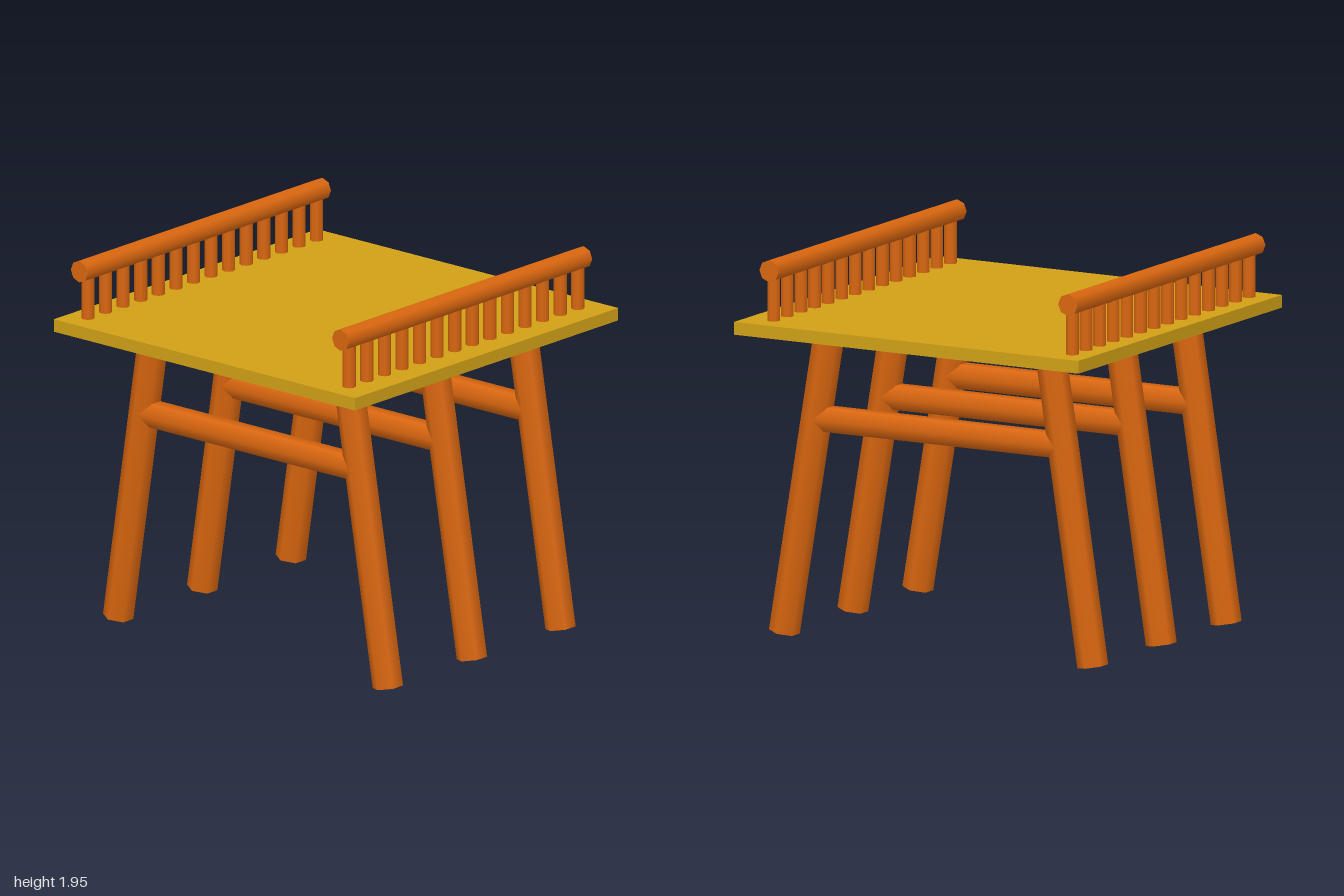
import * as THREE from 'three';

const wood = new THREE.MeshStandardMaterial({ color: 0xd9660f });
const plank = new THREE.MeshStandardMaterial({ color: 0xd0a016 });

// Round timber running between two points, with a low number of sides
function log(name, from, to, radius, sides, turn = 0) {
  const a = new THREE.Vector3(...from);
  const b = new THREE.Vector3(...to);
  const dir = b.clone().sub(a);
  const geometry = new THREE.CylinderGeometry(radius, radius, dir.length(), sides, 1, false, turn);
  const mesh = new THREE.Mesh(geometry, wood);
  mesh.name = name;
  mesh.position.copy(a).add(b).multiplyScalar(0.5);
  mesh.quaternion.setFromUnitVectors(new THREE.Vector3(0, 1, 0), dir.normalize());
  return mesh;
}

export function createModel() {
  const model = new THREE.Group();
  model.name = 'platform';

  // Square deck
  const deck = new THREE.Mesh(new THREE.BoxGeometry(2, 0.065, 2), plank);
  deck.name = 'deck';
  deck.position.y = 1.5995;
  model.add(deck);

  // Three trestles: two splayed hexagonal legs joined by a cross beam
  for (const x of [-0.633, 0.005, 0.678]) {
    const trestle = new THREE.Group();
    trestle.name = 'trestle';
    trestle.add(
      log('frontLeg', [x, 0.012, 0.898], [x, 1.59, 0.632], 0.078, 6, Math.PI / 2),
      log('backLeg', [x, 0.012, -0.893], [x, 1.59, -0.648], 0.078, 6, Math.PI / 2),
      log('crossBeam', [x, 1.12, -0.71], [x, 1.12, 0.71], 0.071, 6, Math.PI / 2)
    );
    model.add(trestle);
  }

  // Railings along the front and back edges
  const postCount = 14;
  for (const [name, z] of [['frontRailing', 0.85], ['backRailing', -0.885]]) {
    const railing = new THREE.Group();
    railing.name = name;
    railing.add(log('handrail', [-0.938, 1.89, z], [0.91, 1.89, z], 0.056, 8));
    for (let i = 0; i < postCount; i++) {
      const x = -0.872 + (i * 1.736) / (postCount - 1);
      railing.add(log('railPost', [x, 1.61, z], [x, 1.86, z], 0.033, 8));
    }
    model.add(railing);
  }

  return model;
}
